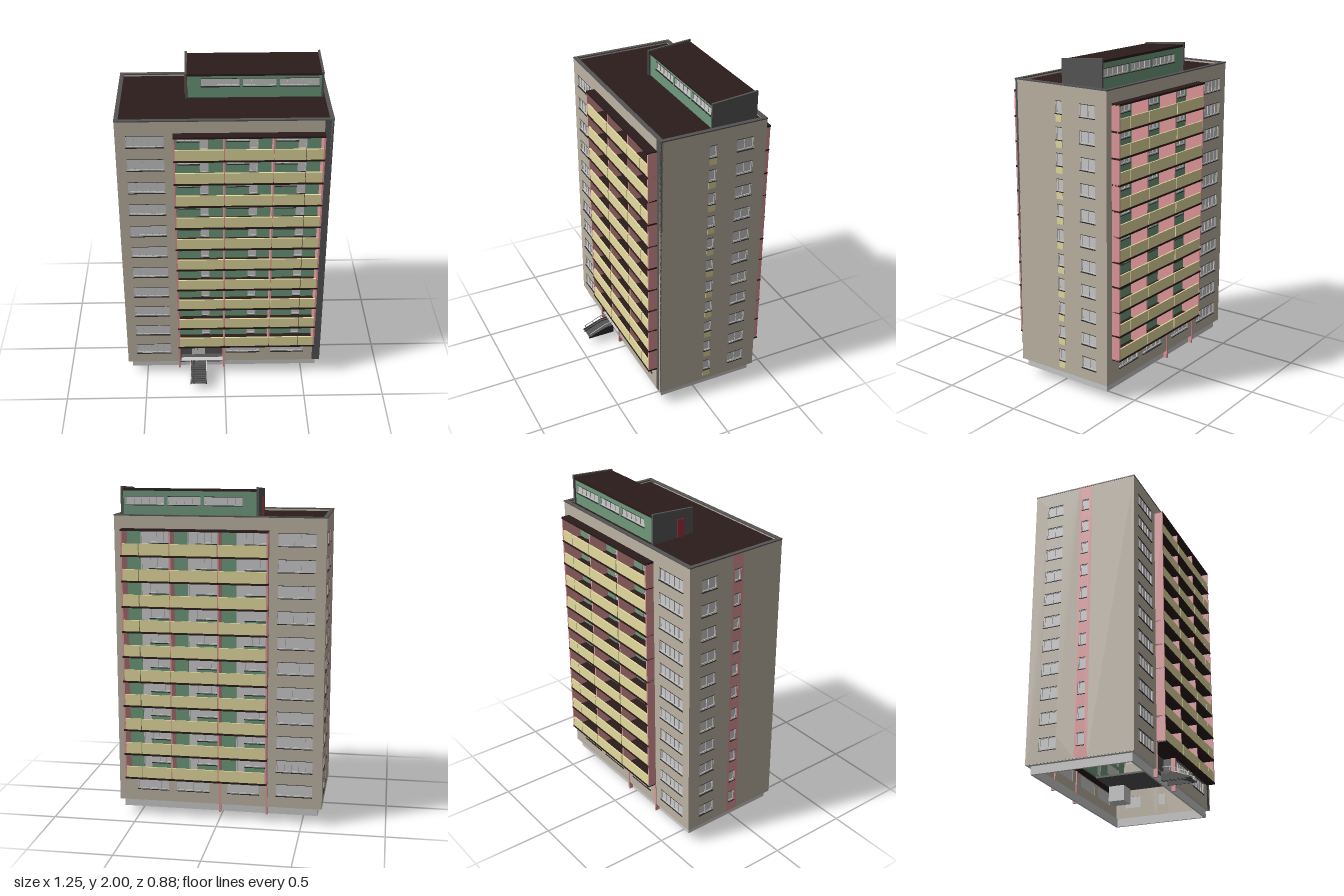
import * as THREE from 'three';
import { mergeGeometries } from 'three/addons/utils/BufferGeometryUtils.js';

const mat = (color) => new THREE.MeshStandardMaterial({ color, side: THREE.DoubleSide });
const GREY = mat(0xcccccc), BEIGE = mat(0xbdb4a4), GREEN = mat(0x6f9a7c), YELLOW = mat(0xe6dca0),
  PINK = mat(0xe0989a), DARK = mat(0x555555), ROOF = mat(0x2a1c1a), BLACK = mat(0x2c2c2c), RED = mat(0x9c3038);
const FLOORS = 11, PITCH = 0.15, T = 0.015;

// box geometry from its limits
function box(x0, x1, y0, y1, z0, z1) {
  return new THREE.BoxGeometry(x1 - x0, y1 - y0, z1 - z0).translate((x0 + x1) / 2, (y0 + y1) / 2, (z0 + z1) / 2);
}
function add(parent, name, geos, material) {
  const list = [].concat(geos);
  const mesh = new THREE.Mesh(list.length > 1 ? mergeGeometries(list) : list[0], material);
  mesh.name = name;
  parent.add(mesh);
  return mesh;
}
const poly = (pts) => pts.map(([x, y]) => new THREE.Vector2(x, y));
const rect = ([x0, x1, y0, y1]) => poly([[x0, y0], [x1, y0], [x1, y1], [x0, y1]]);

// wall with openings, outer face at local z
function wall(parent, name, limits, holes, material, z = 0) {
  const shape = new THREE.Shape(rect(limits));
  for (const h of holes) shape.holes.push(new THREE.Path(Array.isArray(h[0]) ? poly(h) : rect(h)));
  const geo = new THREE.ExtrudeGeometry(shape, { depth: T, bevelEnabled: false });
  return add(parent, name, geo.translate(0, 0, z - T), material);
}
// glazing, frames and sills for a list of openings
function windows(parent, name, list, z = 0) {
  const panes = [], frames = [], sills = [];
  for (const [x0, x1, y0, y1] of list) {
    panes.push(box(x0, x1, y0, y1, z - 0.012, z - 0.008));
    const n = Math.max(1, Math.round((x1 - x0) / 0.045)), f = 0.003;
    for (let i = 0; i <= n; i++) {
      const x = x0 + f + (x1 - x0 - 2 * f) * i / n;
      frames.push(box(x - f, x + f, y0, y1, z - 0.009, z - 0.003));
    }
    frames.push(box(x0, x1, y0, y0 + 2 * f, z - 0.009, z - 0.003), box(x0, x1, y1 - 2 * f, y1, z - 0.009, z - 0.003));
    sills.push(box(x0 - 0.002, x1 + 0.002, y0 - 0.004, y0, z - 0.008, z + 0.005));
    sills.push(box(x0, x1, y1 - 0.003, y1, z - 0.008, z + 0.001));
  }
  add(parent, name + ' panes', panes, GREY);
  add(parent, name + ' frames', frames, GREY);
  add(parent, name + ' sills', sills, BLACK);
}
const column = (x0, x1, count = FLOORS) =>
  Array.from({ length: count }, (_, i) => [x0, x1, 0.172 + PITCH * i, 0.246 + PITCH * i]);

// facade group: local x runs along the wall, local z points outwards
function facade(parent, name, x, z, angle) {
  const g = new THREE.Group();
  g.name = name;
  g.position.set(x, 0, z);
  g.rotation.y = angle;
  parent.add(g);
  return g;
}

// long side with loggias; s = -1 mirrors the layout for the back
function longSide(parent, name, z, s) {
  const g = facade(parent, name, 0, z, s > 0 ? 0 : Math.PI);
  const span = (a, b) => (s > 0 ? [a, b] : [-b, -a]);
  const bx = (a, b, ...rest) => box(...span(a, b), ...rest);
  const R = -0.07, OUT = 0.055;

  // flat walls around the loggias
  const col = column(...span(-0.56, -0.345));
  wall(g, 'end wall', [...span(-0.62, -0.29), 0.1, 1.835], col, BEIGE);
  windows(g, 'end windows', col);
  wall(g, 'corner strip', [...span(0.565, 0.615), 0.1, 1.835], [], s > 0 ? DARK : BEIGE);
  wall(g, 'top band', [...span(-0.29, 0.565), 1.757, 1.835], [], BEIGE);

  // ground floor
  const spots = s > 0 ? [[0.01, 0.225], [0.295, 0.505]] : [[-0.24, -0.05], [0.06, 0.26], [0.31, 0.5]];
  const ground = spots.map(([a, b]) => [...span(a, b), 0.172, 0.246]);
  wall(g, 'ground floor wall', [...span(s > 0 ? 0 : -0.29, 0.565), 0.1, 0.252], ground, BEIGE);
  windows(g, 'ground windows', ground);

  // recessed wall with joined window and balcony door openings
  const holes = [], glass = [];
  for (let k = 0; k < FLOORS - 1; k++) {
    const y = 0.25 + PITCH * k;
    for (const x of [-0.283, 0.005, 0.287]) {
      const d = x + 0.14, e = x + 0.19;
      const pts = [[x + 0.01, y + 0.07], [d, y + 0.07], [d, y + 0.016], [e, y + 0.016], [e, y + 0.142], [x + 0.01, y + 0.142]];
      holes.push(pts.map(([a, b]) => [a * s, b]));
      glass.push([...span(x + 0.01, d), y + 0.07, y + 0.142], [...span(d, e), y + 0.016, y + 0.142]);
    }
  }
  wall(g, 'loggia wall', [...span(-0.29, 0.565), 0.25, 1.757], holes, GREEN, R);
  windows(g, 'loggia glazing', glass, R);

  // slabs, parapet panels, dividers and posts
  const slabs = [], panels = [];
  for (let k = 0; k < FLOORS; k++) {
    const y = 0.25 + PITCH * k;
    slabs.push(bx(-0.293, 0.568, y, y + 0.011, R, OUT));
    if (k === FLOORS - 1) break;
    for (const [a, b] of [[-0.284, -0.006], [0.002, 0.277], [0.282, 0.46], [0.464, 0.56]])
      panels.push(bx(a, b, y + 0.011, y + 0.078, OUT - 0.012, OUT - 0.003));
  }
  add(g, 'loggia slabs', slabs, ROOF);
  add(g, 'parapet panels', panels, YELLOW);
  add(g, 'loggia dividers', [-0.288, -0.002, 0.28, 0.563].map((x) =>
    bx(x - 0.005, x + 0.005, 0.256, 1.755, R, x > 0.5 || x < -0.2 ? OUT - 0.002 : OUT - 0.012)), PINK);
  add(g, 'ground posts', [-0.29, -0.005].map((x) => bx(x - 0.006, x + 0.006, 0.05, 0.252, -0.022, 0.004)), PINK);
  return g;
}

// short side with one window column and a stair column
function shortSide(parent, name, x, angle, s) {
  const g = facade(parent, name, x, 0, angle);
  const span = (a, b) => (s > 0 ? [a, b] : [-b, -a]); // a, b count towards the back
  const big = column(...span(0.2, 0.305)), small = column(...span(0.03, 0.075));
  wall(g, 'side wall front part', [...span(-0.265, 0.01), 0.1, 1.835], [], BEIGE);
  wall(g, 'stair strip', [...span(0.01, 0.09), 0.1, 1.835], small, s > 0 ? BEIGE : PINK);
  wall(g, 'side wall back part', [...span(0.09, 0.385), 0.1, 1.835], big, BEIGE);
  windows(g, 'side windows', big);
  windows(g, 'stair windows', small);
  if (s > 0) add(g, 'stair panels', small.map(([a, b, y]) => box(a, b, y - 0.045, y - 0.005, -0.004, 0.003)), YELLOW);
}

// prism along x from a side outline given as [z, y]
function prism(parent, name, pts, x0, x1, material) {
  const geo = new THREE.ExtrudeGeometry(new THREE.Shape(poly(pts.map(([z, y]) => [-z, y]))), { depth: x1 - x0, bevelEnabled: false });
  return add(parent, name, geo.rotateY(Math.PI / 2).translate(x0, 0, 0), material);
}
// rectangular ring of thin walls, open above and below
const ring = (x0, x1, y0, y1, z0, z1, w) => [
  box(x0, x1, y0, y1, z0, z0 + w), box(x0, x1, y0, y1, z1 - w, z1),
  box(x0, x0 + w, y0, y1, z0 + w, z1 - w), box(x1 - w, x1, y0, y1, z0 + w, z1 - w)];

function entrance(parent) {
  // recessed porch with door
  const g = new THREE.Group();
  g.name = 'entrance';
  parent.add(g);
  add(g, 'porch walls', [box(-0.285, 0, 0.1, 0.25, 0.18, 0.195), box(-0.285, -0.28, 0.1, 0.25, 0.195, 0.262),
    box(-0.005, 0, 0.1, 0.25, 0.195, 0.262)], DARK);
  add(g, 'lobby floor', box(-0.285, 0, 0.09, 0.1, -0.11, 0.262), DARK);
  add(g, 'door', [box(-0.21, -0.125, 0.1, 0.205, 0.195, 0.2), box(-0.205, -0.17, 0.21, 0.242, 0.195, 0.2),
    box(-0.165, -0.13, 0.21, 0.242, 0.195, 0.2)], GREY);
  add(g, 'door handle', box(-0.175, -0.171, 0.14, 0.17, 0.2, 0.207), BLACK);
  // stairs with sloping stringers and rails
  const steps = [];
  for (let i = 0; i < 8; i++) {
    const z = 0.41 - i * 0.015, y = 0.056 + i * 0.006;
    steps.push(box(-0.215, -0.12, y - 0.006, y, z, z + 0.019));
  }
  steps.push(box(-0.22, -0.115, 0.092, 0.1, 0.24, 0.31));
  add(g, 'steps', steps, DARK);
  for (const x of [-0.22, -0.2, -0.12])
    prism(g, 'stringer', [[0.435, 0.05], [0.435, 0.058], [0.31, 0.103], [0.26, 0.103], [0.26, 0.05]], x, x + 0.005, BLACK);
  for (const x of [-0.217, -0.117]) {
    prism(g, 'hand rail', [[0.425, 0.08], [0.425, 0.085], [0.31, 0.132], [0.27, 0.132], [0.27, 0.127], [0.31, 0.127]], x - 0.002, x + 0.002, GREY);
    add(g, 'rail posts', [[0.42, 0.06, 0.085], [0.365, 0.08, 0.108], [0.31, 0.1, 0.13]].map(([z, a, b]) =>
      box(x - 0.002, x + 0.002, a, b, z - 0.002, z + 0.002)), GREY);
  }
}

function penthouse(parent) {
  const g = new THREE.Group();
  g.name = 'penthouse';
  parent.add(g);
  const spots = [[-0.13, 0.095], [0.115, 0.31], [0.33, 0.56]];
  for (const [name, z, s, top] of [['front', -0.065, 1, 1.965], ['back', -0.325, -1, 1.98]]) {
    const f = facade(g, 'penthouse ' + name, 0, z, s > 0 ? 0 : Math.PI);
    const list = spots.map(([a, b]) => [...(s > 0 ? [a, b] : [-b, -a]), 1.893, 1.943]);
    wall(f, 'penthouse wall', [...(s > 0 ? [-0.21, 0.575] : [-0.575, 0.21]), 1.82, top], list, GREEN);
    windows(f, 'penthouse windows', list);
  }
  prism(g, 'penthouse roof', [[-0.058, 1.96], [-0.058, 1.972], [-0.332, 1.988], [-0.332, 1.974]], -0.212, 0.576, ROOF);
  for (const x of [-0.225, 0.573])
    prism(g, 'penthouse end wall', [[-0.055, 1.82], [-0.055, 1.978], [-0.335, 2], [-0.335, 1.82]], x, x + 0.013, DARK);
  add(g, 'roof door', box(-0.23, -0.225, 1.82, 1.93, -0.165, -0.12), RED);
}

export function createModel() {
  const model = new THREE.Group();
  model.name = 'apartment block';
  longSide(model, 'front', 0.265, 1);
  longSide(model, 'back', -0.385, -1);
  shortSide(model, 'right side', 0.615, Math.PI / 2, 1);
  shortSide(model, 'left side', -0.62, -Math.PI / 2, -1);

  // roof and parapet rim
  add(model, 'roof', box(-0.605, 0.6, 1.815, 1.822, -0.37, 0.25), ROOF);
  add(model, 'parapet rim', ring(-0.622, 0.617, 1.833, 1.84, -0.388, 0.267, 0.024), DARK);

  // open plinth with ledge, and lift pit below
  add(model, 'plinth', ring(-0.595, 0.59, 0.05, 0.1, -0.363, 0.245, 0.012), GREY);
  add(model, 'plinth ledge', ring(-0.618, 0.613, 0.098, 0.102, -0.383, 0.263, 0.032), GREY);
  add(model, 'lift pit', box(-0.115, -0.02, 0, 0.09, -0.105, -0.01), GREY);

  entrance(model);
  penthouse(model);
  return model;
}
